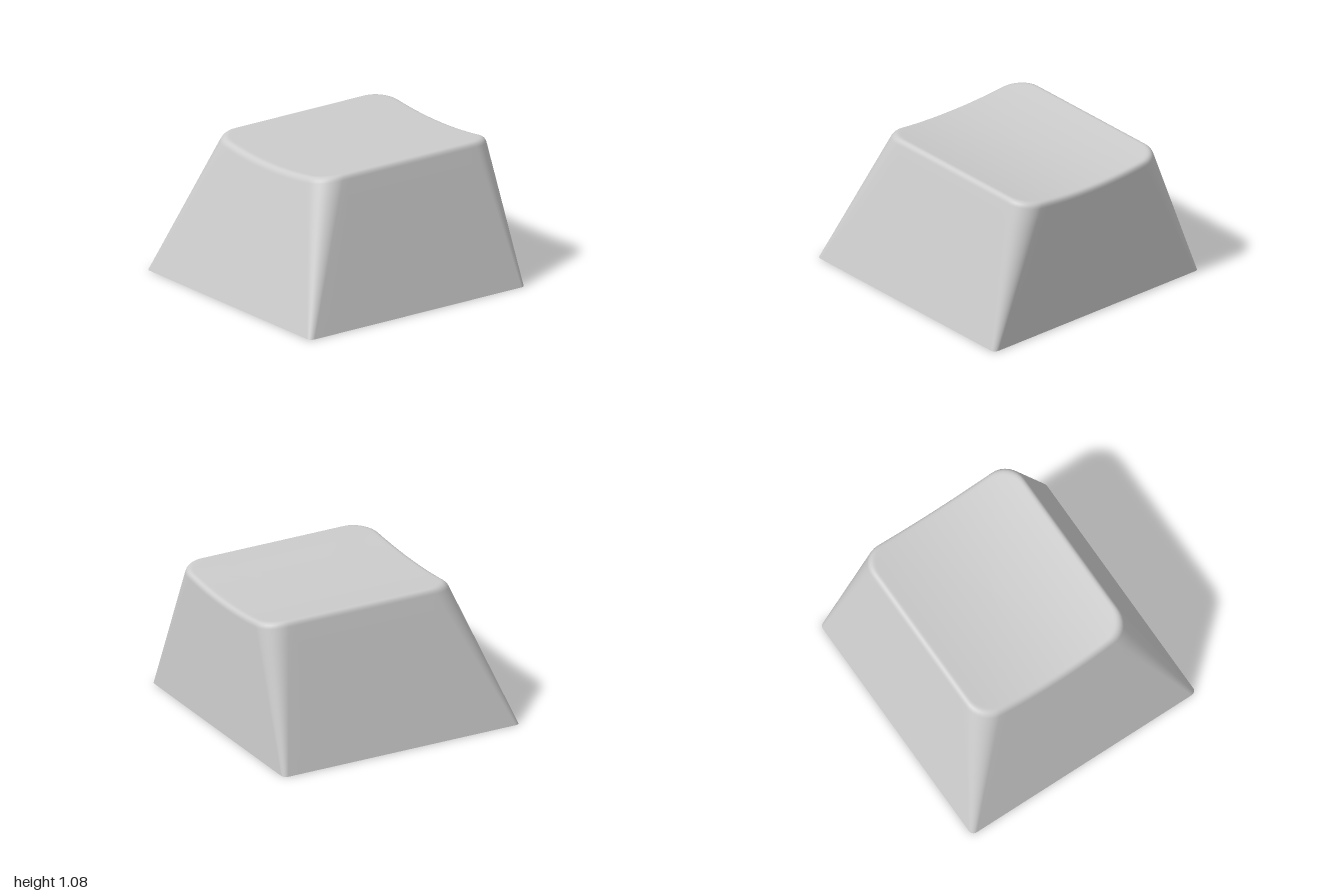
import * as THREE from 'three';
import { toCreasedNormals } from 'three/addons/utils/BufferGeometryUtils.js';

const WALL = 0.15;      // wall thickness at the rim
const CEILING = 0.87;   // height of the hollow
const FILLET = 0.045;   // rounding of the top edge

// Dished top: a shallow trough running front to back
const dish = (x) => 1.03 + 0.055 * (x / 0.65) ** 2;

// Rounded-rectangle outline of the outer wall at height y, as [x, z] points
function outline(y, inset = 0) {
  const hx = 1 - 0.302 * y - inset;
  const front = 1 - 0.345 * y - inset;
  const back = -1 + 0.035 * y + inset;
  const r = 0.04 + 0.135 * y - inset * 0.5;
  const corners = [[hx - r, front - r], [r - hx, front - r], [r - hx, back + r], [hx - r, back + r]];
  const arc = (c, k) => {
    const a = (c + k / 8) * Math.PI / 2;
    return [corners[c][0] + r * Math.cos(a), corners[c][1] + r * Math.sin(a)];
  };
  const points = [];
  for (let c = 0; c < 4; c++) {
    for (let k = 0; k <= 8; k++) points.push(arc(c, k));
    const a = arc(c, 8), b = arc((c + 1) % 4, 0);
    for (let m = 1; m < 16; m++) {
      const t = m / 16;
      points.push([a[0] + (b[0] - a[0]) * t, a[1] + (b[1] - a[1]) * t]);
    }
  }
  return points;
}

// Skin through a stack of closed rings
function loft(rings) {
  const n = rings[0].length, index = [];
  for (let i = 0; i < rings.length - 1; i++) {
    for (let j = 0; j < n; j++) {
      const k = (j + 1) % n, a = i * n, b = a + n;
      index.push(a + j, b + j, a + k, a + k, b + j, b + k);
    }
  }
  const geometry = new THREE.BufferGeometry();
  geometry.setAttribute('position', new THREE.Float32BufferAttribute(rings.flat(2), 3));
  geometry.setIndex(index);
  geometry.computeVertexNormals();
  return geometry;
}

function outerGeometry() {
  const count = outline(0).length, rings = [];
  const ring = (fn) => rings.push(Array.from({ length: count }, (_, j) => fn(j)));
  const edgeX = outline(1.05).map((p) => p[0]);
  const at = (j, y, inset) => {
    const [x, z] = outline(y, inset)[j];
    return [x, y, z];
  };
  // Sloping walls
  for (let s = 0; s <= 8; s++) ring((j) => at(j, (s / 8) * (dish(edgeX[j]) - FILLET), 0));
  // Rounded top edge
  const rimPoint = (j) => {
    const [x, , z] = at(j, dish(edgeX[j]), 0.04);
    return [x, dish(x), z];
  };
  for (let s = 1; s <= 6; s++) {
    const t = s / 6;
    ring((j) => {
      const top = dish(edgeX[j]);
      const p = at(j, top - FILLET, 0), q = at(j, top, 0), e = rimPoint(j);
      return p.map((v, i) => (1 - t) ** 2 * v + 2 * t * (1 - t) * q[i] + t * t * e[i]);
    });
  }
  // Dished top, closing towards the middle
  const zc = -0.16;
  for (const f of [0.97, 0.9, 0.8, 0.65, 0.5, 0.35, 0.2, 0.08, 0.001]) {
    ring((j) => {
      const [x, , z] = rimPoint(j);
      return [x * f, dish(x * f), zc + (z - zc) * f];
    });
  }
  return loft(rings);
}

// Flat underside of the walls
function rimGeometry() {
  const shape = new THREE.Shape(outline(0).map(([x, z]) => new THREE.Vector2(x, z)));
  const h = 1 - WALL;
  shape.holes.push(new THREE.Path([[-h, -h], [-h, h], [h, h], [h, -h]].map((p) => new THREE.Vector2(...p))));
  return new THREE.ShapeGeometry(shape).rotateX(Math.PI / 2);
}

// Inside walls and ceiling: a tapered box turned inside out, open below
function cavityGeometry() {
  const geometry = new THREE.BoxGeometry(2, 1, 2);
  const p = geometry.attributes.position, h = 1 - WALL;
  for (let i = 0; i < p.count; i++) {
    const y = p.getY(i) > 0 ? CEILING : 0;
    const z = p.getZ(i) > 0 ? h - 0.34 * y : -h + 0.035 * y;
    p.setXYZ(i, p.getX(i) * (h - 0.34 * y), y, z);
  }
  const index = Array.from(geometry.index.array);
  index.splice(18, 6);
  geometry.setIndex(index.reverse());
  geometry.clearGroups();
  geometry.computeVertexNormals();
  return geometry;
}

// Round socket with a cross-shaped hole
function socketGeometry(radius, depth) {
  const shape = new THREE.Shape().absarc(0, 0, radius, 0, Math.PI * 2, false);
  const a = 0.235, b = 0.073;
  const cross = [[a, b], [b, b], [b, a], [-b, a], [-b, b], [-a, b],
    [-a, -b], [-b, -b], [-b, -a], [b, -a], [b, -b], [a, -b]];
  shape.holes.push(new THREE.Path(cross.map((p) => new THREE.Vector2(...p))));
  const geometry = new THREE.ExtrudeGeometry(shape, { depth, bevelEnabled: false, curveSegments: 48 });
  return toCreasedNormals(geometry.rotateX(-Math.PI / 2), 0.5);
}

// Rib from the stem out to a wall, slanted to follow it
function ribGeometry(slope) {
  const low = 0.51, end = (y) => 1 - WALL - slope * y + 0.01;
  const shape = new THREE.Shape([[0.28, low], [end(low), low], [end(CEILING), CEILING], [0.28, CEILING]]
    .map((p) => new THREE.Vector2(...p)));
  return new THREE.ExtrudeGeometry(shape, { depth: 0.09, bevelEnabled: false }).translate(0, 0, -0.045);
}

export function createModel() {
  const model = new THREE.Group();
  model.name = 'keycap';
  const plastic = new THREE.MeshStandardMaterial({ color: 0xcccccc });
  plastic.name = 'light grey plastic';
  const add = (name, geometry, y = 0, turn = 0) => {
    const mesh = new THREE.Mesh(geometry, plastic);
    mesh.name = name;
    mesh.position.y = y;
    mesh.rotation.y = turn;
    model.add(mesh);
  };

  add('outerShell', outerGeometry());
  add('bottomRim', rimGeometry());
  add('innerCavity', cavityGeometry());

  // Stem: socket below, solid post above
  const radius = 0.31, stemBottom = 0.115, holeTop = 0.55;
  add('stemSocket', socketGeometry(radius, holeTop - stemBottom), stemBottom);
  add('stemPost', new THREE.CylinderGeometry(radius, radius, CEILING - holeTop, 96), (CEILING + holeTop) / 2);

  // Four ribs; the one at the back meets a nearly upright wall
  ['leftRib', 'backRib', 'rightRib', 'frontRib'].forEach((name, i) =>
    add(name, ribGeometry(i === 1 ? 0.035 : 0.34), 0, i * Math.PI / 2));
  return model;
}
